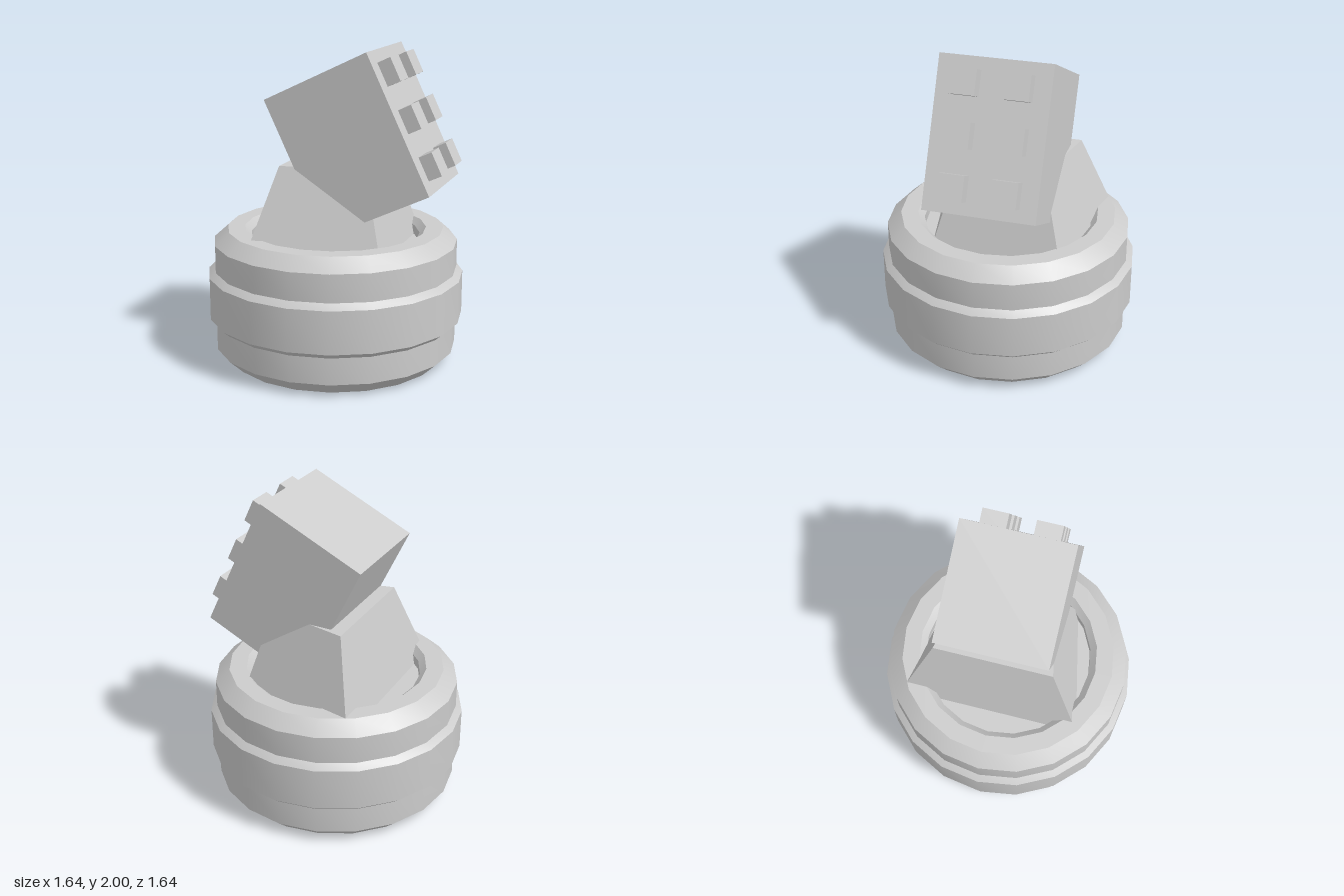
import * as THREE from 'three';
import { toCreasedNormals } from 'three/addons/utils/BufferGeometryUtils.js';
import { ConvexGeometry } from 'three/addons/geometries/ConvexGeometry.js';

const material = new THREE.MeshStandardMaterial({ color: 0xcccccc });

function part(name, geometry, parent) {
  const mesh = new THREE.Mesh(geometry, material);
  mesh.name = name;
  parent.add(mesh);
  return mesh;
}

export function createModel() {
  const model = new THREE.Group();
  model.name = 'tiltedHeadOnBase';

  // Round base: stepped drum with a shallow recess in the top and underside
  const profile = [
    [0, 0.14], [0.54, 0.14], [0.54, 0.04], [0.58, 0], [0.69, 0],
    [0.78, 0.085], [0.78, 0.255], [0.82, 0.29], [0.82, 0.56], [0.78, 0.595],
    [0.78, 0.77], [0.69, 0.85], [0.58, 0.85], [0.54, 0.81], [0.54, 0.75], [0, 0.75],
  ].map(([r, y]) => new THREE.Vector2(r, y));
  part('base', toCreasedNormals(new THREE.LatheGeometry(profile, 20), 0.5), model);

  // Pedestal: tapers upward and narrows toward +x; sunk into the base recess
  const corners = [];
  const addLevel = (y, xBack, zBack, xFront, zFront) => {
    for (const z of zBack) corners.push(new THREE.Vector3(xBack, y, z));
    for (const z of zFront) corners.push(new THREE.Vector3(xFront, y, z));
  };
  addLevel(0.74, -0.39, [-0.625, 0.552], 0.43, [-0.45, 0.378]);
  addLevel(1.29, -0.24, [-0.415, 0.34], 0.28, [-0.305, 0.23]);
  part('pedestal', new ConvexGeometry(corners), model);

  // Head: box tilted back, with two columns of three studs on its +x face
  const head = new THREE.Group();
  head.name = 'head';
  head.position.set(0.183, 1.43, -0.02);
  head.rotation.z = THREE.MathUtils.degToRad(25.5);
  model.add(head);
  part('headBlock', new THREE.BoxGeometry(0.725, 0.92, 0.69), head);

  const studGeometry = new THREE.BoxGeometry(0.128, 0.154, 0.158);
  for (const y of [-0.305, 0, 0.305]) {
    for (const z of [-0.16, 0.16]) {
      part('stud', studGeometry, head).position.set(0.386, y, z);
    }
  }
  return model;
}
